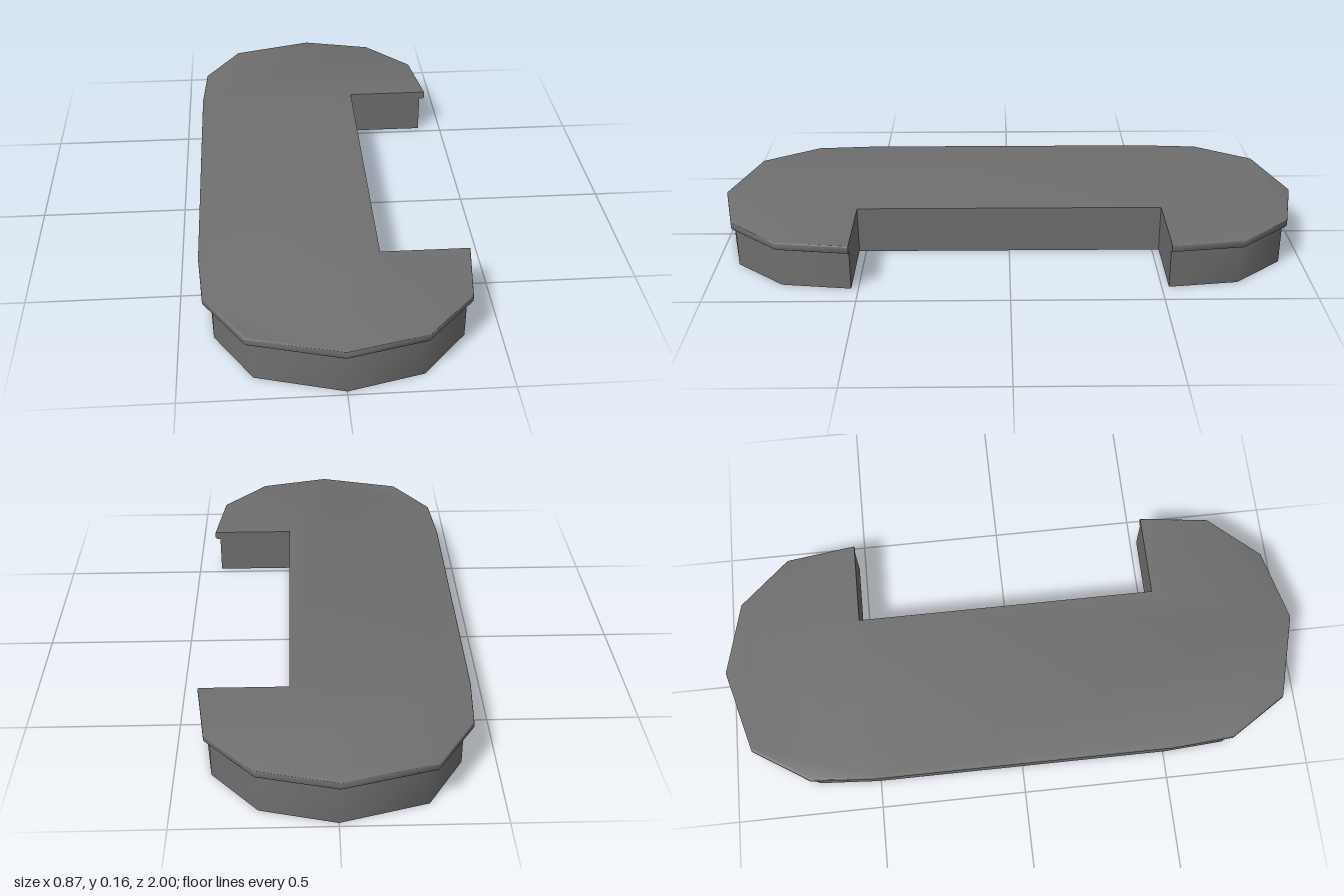
import * as THREE from 'three';
import { toCreasedNormals } from 'three/addons/utils/BufferGeometryUtils.js';

const NOTCH_X = 0.143;
const NOTCH_Z = 0.524;

// Plan outline of one half as [x, z], from the notch corner round to the straight back edge
const half = [
  [NOTCH_X, NOTCH_Z], [0.434, NOTCH_Z], [0.402, 0.767], [0.246, 0.938], [-0.005, 1],
  [-0.295, 0.92], [-0.42, 0.725], [-0.435, 0.515],
];
const outline = [...half, ...half.map(([x, z]) => [x, -z]).reverse()];

// Outline drawn in by a fraction: 0 is the rim, 1 is the body; the notch faces stay flush
function insetOutline(t) {
  return outline.map(([x, z]) => [
    x === NOTCH_X ? x : x + t * (0.0055 - 0.056 * x),
    Math.abs(z) === NOTCH_Z ? z : z * (1 - 0.015 * t),
  ]);
}

// Thin walls through a stack of [inset, height] rings, open below, with an optional flat top
function loft(levels, closedTop) {
  const positions = [];
  const rings = levels.map(([t, y]) => insetOutline(t).map(([x, z]) => [x, y, z]));
  const n = outline.length;
  for (let r = 0; r < rings.length - 1; r++) {
    for (let i = 0; i < n; i++) {
      const j = (i + 1) % n;
      const [a, b, c, d] = [rings[r][i], rings[r][j], rings[r + 1][i], rings[r + 1][j]];
      positions.push(...a, ...c, ...b, ...b, ...c, ...d);
    }
  }
  if (closedTop) {
    const ring = rings[rings.length - 1];
    const flat = ring.map(([x, , z]) => new THREE.Vector2(x, z));
    for (const [a, b, c] of THREE.ShapeUtils.triangulateShape(flat, [])) {
      positions.push(...ring[a], ...ring[c], ...ring[b]);
    }
  }
  const geometry = new THREE.BufferGeometry();
  geometry.setAttribute('position', new THREE.Float32BufferAttribute(positions, 3));
  return toCreasedNormals(geometry, THREE.MathUtils.degToRad(45));
}

export function createModel() {
  const group = new THREE.Group();
  group.name = 'notchedPlatform';
  const material = new THREE.MeshStandardMaterial({ color: 0x6f6f6f, side: THREE.DoubleSide });
  const add = (name, geometry) => {
    const mesh = new THREE.Mesh(geometry, material);
    mesh.name = name;
    group.add(mesh);
  };

  // Hollow upright body
  add('base', loft([[1, 0], [1, 0.135]], false));

  // Overhanging slab: ledge, rounded lower edge, softened upper edge, flat top
  add('topSlab', loft([
    [1, 0.135], [0.4, 0.135], [0.2, 0.1365], [0.06, 0.14], [0, 0.146],
    [0, 0.159], [0.05, 0.1615], [0.18, 0.163], [0.3, 0.163],
  ], true));
  return group;
}
